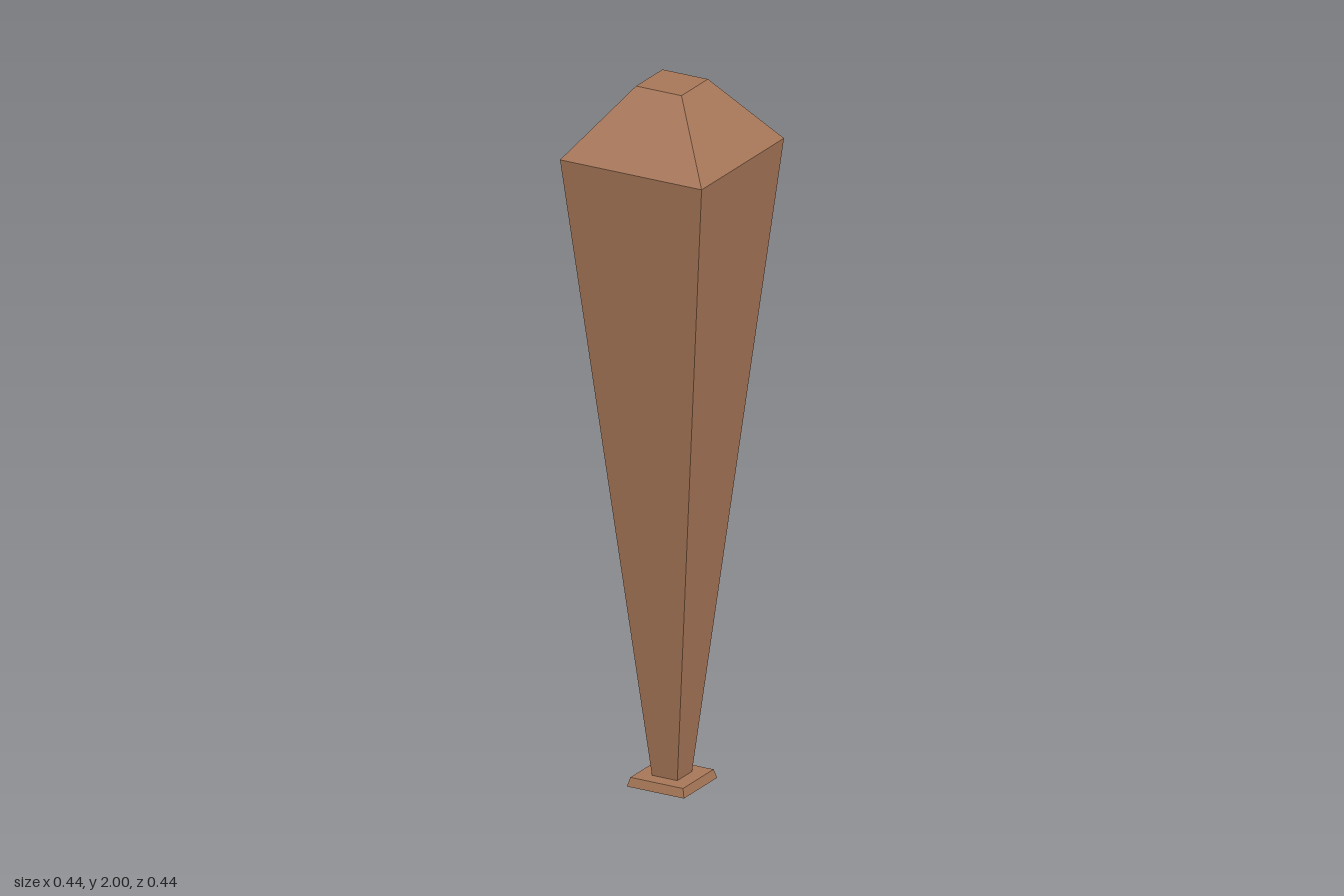
import * as THREE from 'three';

export function createModel() {
  const group = new THREE.Group();
  group.name = 'taperedPost';

  const wood = new THREE.MeshStandardMaterial({ color: 0xa97859, flatShading: true });
  wood.name = 'brown wood';

  // Square frustum between two heights, given the half widths of its ends
  function frustum(name, y0, half0, y1, half1, openEnded = false) {
    const geometry = new THREE.CylinderGeometry(
      half1 * Math.SQRT2, half0 * Math.SQRT2, y1 - y0, 4, 1, openEnded
    ).rotateY(Math.PI / 4).translate(0, (y0 + y1) / 2, 0).toNonIndexed();
    geometry.computeVertexNormals();
    const mesh = new THREE.Mesh(geometry, wood);
    mesh.name = name;
    group.add(mesh);
  }

  // Thin foot plate with slightly sloping edges
  frustum('footPlate', 0, 0.088, 0.025, 0.081);
  // Long shaft widening upwards; its ends are covered by the other parts
  frustum('shaft', 0.025, 0.039, 1.81, 0.218, true);
  // Sloping cap with a small flat top
  const capHeight = 1.81;
  frustum('cap', capHeight, 0.218, 2, 0.07);
  // The cap's hidden underside is left out
  const cap = group.getObjectByName('cap');
  const p = cap.geometry.attributes.position;
  const kept = [];
  for (let i = 0; i < p.count; i += 3) {
    const flatBottom = [0, 1, 2].every((k) => Math.abs(p.getY(i + k) - capHeight) < 1e-4);
    if (!flatBottom) kept.push(i, i + 1, i + 2);
  }
  cap.geometry.setIndex(kept);

  return group;
}
